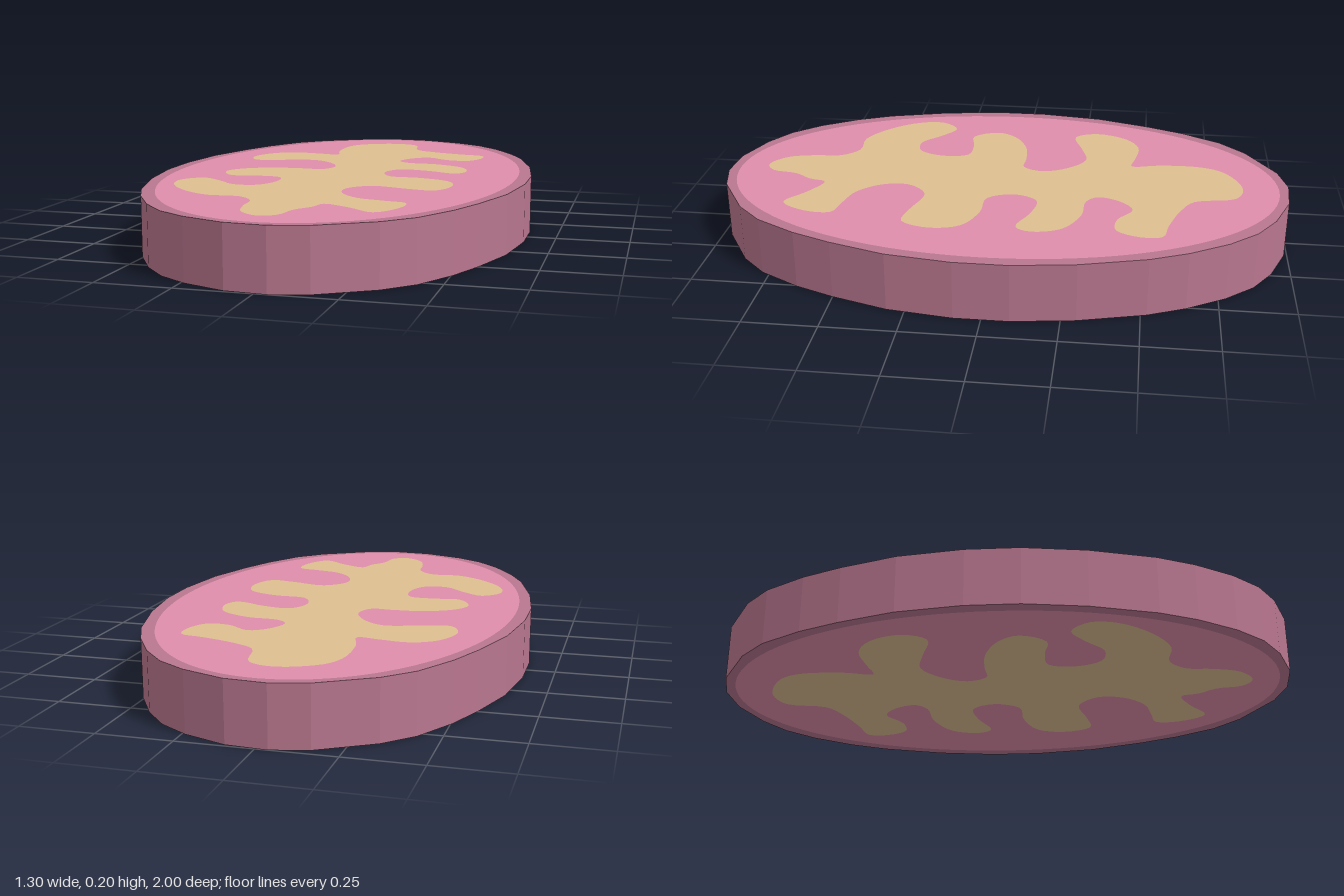
import * as THREE from 'three';

const HEIGHT = 0.2;

// Half of the faceted outer edge (x, z), running from the front tip to the back; the other half is its point mirror.
const halfRim = [
  [0.04, 1], [0.16, 0.97], [0.335, 0.865], [0.425, 0.775], [0.505, 0.635], [0.56, 0.5], [0.62, 0.31], [0.65, 0.09],
  [0.65, -0.09], [0.62, -0.3], [0.56, -0.52], [0.505, -0.645], [0.425, -0.775], [0.34, -0.87], [0.24, -0.935], [0.095, -0.99],
];
const rimOutline = [...halfRim, ...halfRim.map(([x, z]) => [-x, -z])];

// Smooth inner oval
const ovalOutline = Array.from({ length: 96 }, (_, i) => {
  const a = (i / 96) * Math.PI * 2;
  return [0.607 * Math.sin(a), 0.965 * Math.cos(a)];
});

// Lobed centre, in hundredths: +x side from back to front, then -x side from front to back
const lobesLeft = [
  [-1, -84], [8, -81], [12, -67], [20, -62], [32, -58], [40, -56], [41, -49], [37, -41], [29, -41], [21, -46],
  [15, -42], [12, -34], [16, -30], [27, -29], [38, -23], [41, -13], [38, -8], [27, -12], [17, -13], [13, -5],
  [17, 4], [28, 5], [39, 10], [42, 20], [38, 30], [29, 29], [16, 26], [9, 33], [10, 42], [17, 50],
  [27, 53], [34, 55], [34, 64], [28, 73], [19, 67], [10, 63], [8, 69], [4, 75], [2, 84], [-3, 87],
];
const lobesRight = [
  [-10, 82], [-13, 72], [-14, 63], [-20, 57], [-31, 57], [-42, 50], [-50, 39], [-51, 30], [-45, 24], [-37, 29],
  [-30, 35], [-22, 34], [-18, 25], [-20, 16], [-29, 15], [-38, 16], [-43, 7], [-39, 0], [-29, -5], [-18, -6],
  [-11, -6], [-8, -13], [-12, -22], [-20, -28], [-30, -26], [-42, -23], [-46, -31], [-42, -42], [-34, -47], [-23, -46],
  [-16, -45], [-18, -55], [-18, -70], [-14, -78],
];
const lobeCurve = new THREE.CatmullRomCurve3(
  [...lobesLeft, ...lobesRight].map(([x, z]) => new THREE.Vector3(x / 100, 0, z / 100)), true);
const lobeOutline = lobeCurve.getPoints(296).slice(0, -1).map((p) => [p.x, p.z]);

function material(name, color) {
  const m = new THREE.MeshStandardMaterial({ color });
  m.name = name;
  return m;
}

// Flat face between two outlines; side is 1 for the top and -1 for the underside
function flatFace(name, mat, side, outer, inner) {
  const toPoints = (outline) => outline.map(([x, z]) => new THREE.Vector2(x, -side * z));
  const shape = new THREE.Shape(toPoints(outer));
  if (inner) shape.holes.push(new THREE.Path(toPoints(inner)));
  const geometry = new THREE.ShapeGeometry(shape);
  geometry.rotateX(-side * Math.PI / 2);
  const mesh = new THREE.Mesh(geometry, mat);
  mesh.name = name;
  mesh.position.y = side > 0 ? HEIGHT : 0;
  return mesh;
}

// Open cylinder with its columns moved onto the outer outline
function wallGeometry() {
  const n = rimOutline.length;
  const cylinder = new THREE.CylinderGeometry(1, 1, HEIGHT, n, 1, true);
  const pos = cylinder.attributes.position;
  for (let i = 0; i < pos.count; i++) {
    const [x, z] = rimOutline[(i % (n + 1)) % n];
    pos.setXYZ(i, x, pos.getY(i) + HEIGHT / 2, z);
  }
  const flat = cylinder.toNonIndexed();
  flat.computeVertexNormals();
  return flat;
}

export function createModel() {
  const membrane = material('dusky rose', 0xb9778f);
  const filling = material('pink', 0xdf8eab);
  const folds = material('tan', 0xdfbf91);

  const model = new THREE.Group();
  model.name = 'ovalDisc';

  const wall = new THREE.Mesh(wallGeometry(), membrane);
  wall.name = 'outerWall';
  model.add(wall);

  for (const [label, side] of [['top', 1], ['bottom', -1]]) {
    model.add(
      flatFace(label + 'Rim', membrane, side, rimOutline, ovalOutline),
      flatFace(label + 'Filling', filling, side, ovalOutline, lobeOutline),
      flatFace(label + 'Folds', folds, side, lobeOutline),
    );
  }
  return model;
}
